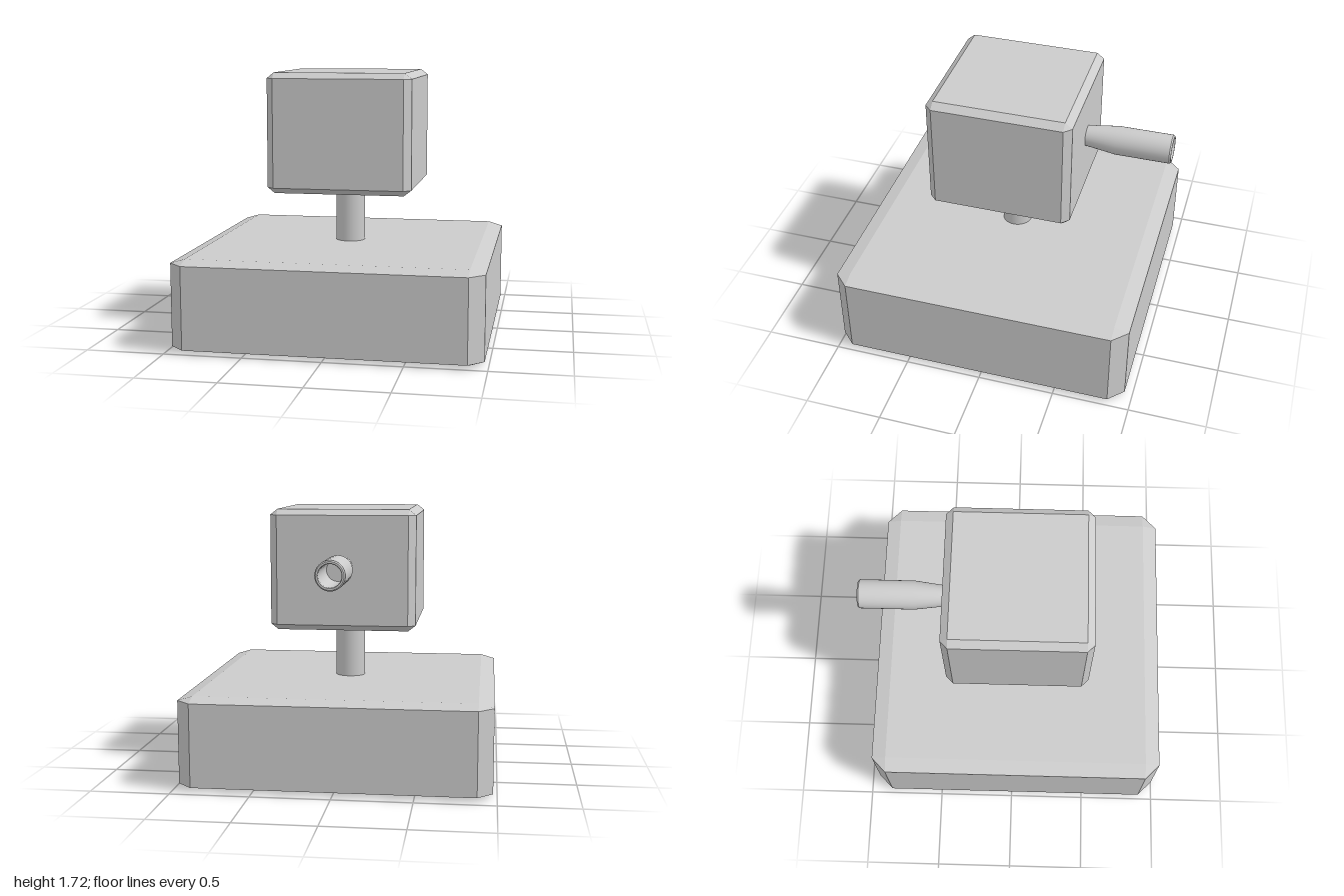
import * as THREE from 'three';
import { toCreasedNormals } from 'three/addons/utils/BufferGeometryUtils.js';
import { ConvexGeometry } from 'three/addons/geometries/ConvexGeometry.js';

const material = new THREE.MeshStandardMaterial({ color: 0xcccccc });

// Box with flat chamfers: (w, h, d) outer size, c = chamfer along x and z, cy = along y
function chamferedBox(w, h, d, c, cy) {
  const points = [];
  for (const sx of [-1, 1]) for (const sy of [-1, 1]) for (const sz of [-1, 1]) {
    const x = w / 2, y = h / 2, z = d / 2;
    for (const [px, py, pz] of [[x, y - cy, z - c], [x - c, y, z - c], [x - c, y - cy, z]]) {
      points.push(new THREE.Vector3(sx * px, sy * py, sz * pz));
    }
  }
  return new ConvexGeometry(points);
}

export function createModel() {
  const model = new THREE.Group();
  const add = (name, geometry, x, y, z) => {
    const mesh = new THREE.Mesh(geometry, material);
    mesh.name = name;
    mesh.position.set(x, y, z);
    model.add(mesh);
    return mesh;
  };

  // Wide base slab, round post and head block
  add('base', chamferedBox(1.95, 0.585, 1.95, 0.095, 0.028), 0, 0.2925, 0.025);
  add('post', new THREE.CylinderGeometry(0.097, 0.097, 0.42, 32), 0, 0.765, 0.025);
  add('head', chamferedBox(0.934, 0.775, 0.934, 0.047, 0.037), 0, 1.3325, 0.025);

  // Hollow barrel: tapered neck, straight tube, bevelled rim and bore
  const profile = [
    [0, 0], [0.065, 0], [0.069, 0.04], [0.0925, 0.22], [0.0925, 0.57],
    [0.085, 0.58], [0.074, 0.58], [0.07, 0.572], [0.07, 0.22], [0, 0.22],
  ].map(([r, t]) => new THREE.Vector2(r, t));
  const barrel = add('barrel', toCreasedNormals(new THREE.LatheGeometry(profile, 32), 0.4), 0, 1.356, -0.42);
  barrel.rotation.x = -Math.PI / 2;

  return model;
}
